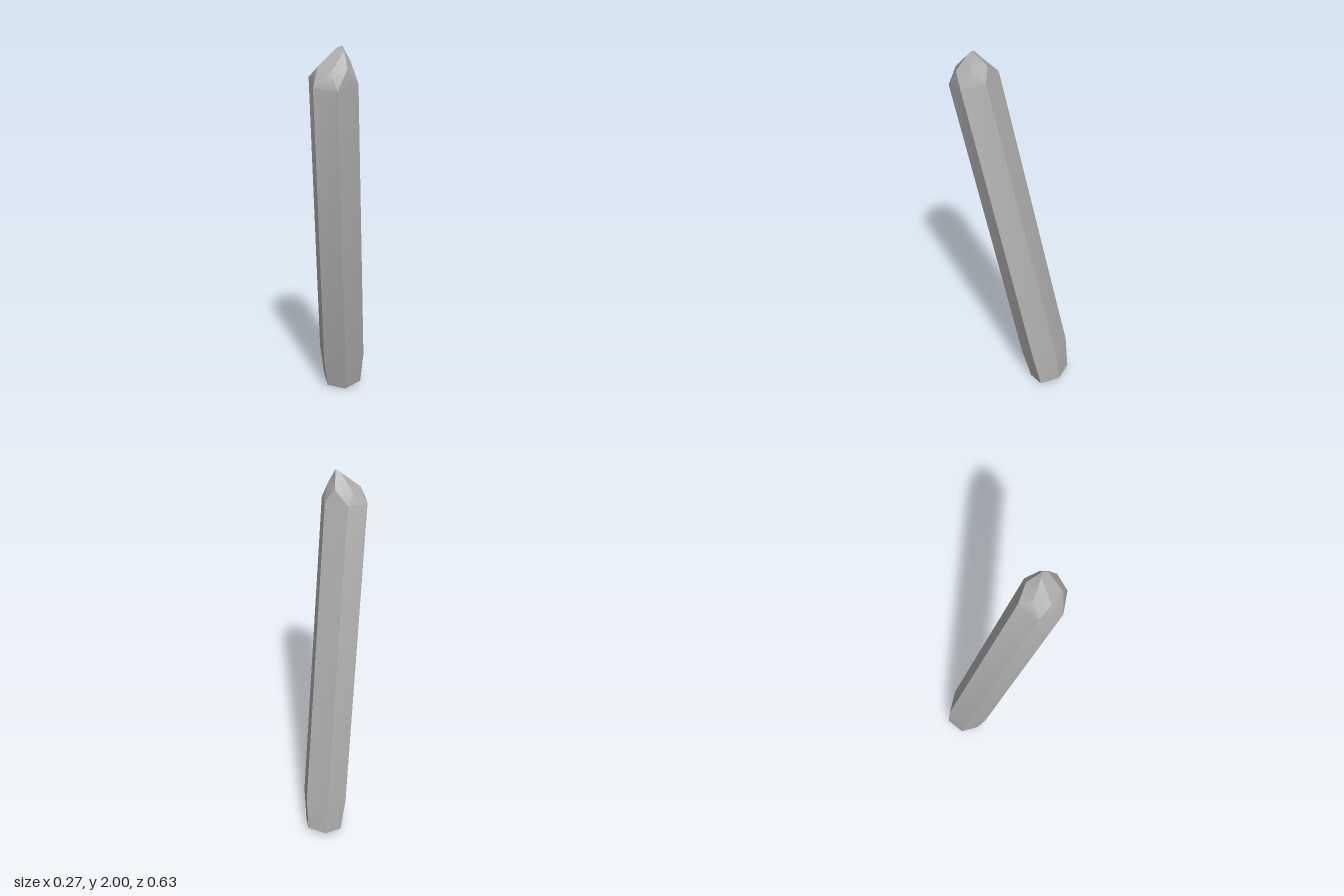
import * as THREE from 'three';
import { toCreasedNormals } from 'three/addons/utils/BufferGeometryUtils.js';

// Hexagonal outline of the shaft at its shoulder (x, z), relative to the axis
const HEX = [[-0.119, -0.031], [-0.039, -0.12], [0.086, -0.082], [0.128, 0.034], [0.032, 0.116], [-0.089, 0.084]];

// Cross-section at right angles to the leaning axis
const ring = (x, y, z, s) => HEX.map(([dx, dz]) => [x + dx * s, y - dz * s * 0.26, z + dz * s]);

// Skin a stack of six-point loops and close both ends
function skin(loops, creaseAngle) {
  const pos = [];
  const tri = (a, b, c) => {
    const [A, B, C] = [a, b, c].map((p) => new THREE.Vector3(...p));
    if (B.sub(A).cross(C.sub(A)).length() > 1e-8) pos.push(...a, ...b, ...c);
  };
  for (let k = 0; k < loops.length - 1; k++) {
    const a = loops[k], b = loops[k + 1];
    for (let i = 0; i < 6; i++) {
      const j = (i + 1) % 6;
      tri(a[i], b[i], a[j]);
      tri(b[i], b[j], a[j]);
    }
  }
  const base = loops[0], top = loops[loops.length - 1];
  for (let i = 1; i < 5; i++) {
    tri(base[0], base[i], base[i + 1]);
    tri(top[0], top[i + 1], top[i]);
  }
  const g = new THREE.BufferGeometry();
  g.setAttribute('position', new THREE.Float32BufferAttribute(pos, 3));
  return toCreasedNormals(g, creaseAngle);
}

export function createModel() {
  const group = new THREE.Group();
  group.name = 'crystal';
  const stone = new THREE.MeshStandardMaterial({ color: 0xb0b0b0 });
  stone.name = 'grey stone';

  // Irregular facets between the shoulder and the point
  const facets = [
    [-0.07, 1.9, 0.141], [0.02, 1.925, 0.118], [0.072, 1.92, 0.185],
    [0.06, 1.9, 0.264], [-0.02, 1.885, 0.284], [-0.088, 1.9, 0.225],
  ];
  // Small three-cornered point
  const left = [0.007, 1.99, 0.184], peak = [0.032, 2, 0.192], front = [0.042, 1.975, 0.218];
  const point = [left, peak, peak, front, front, left];

  const shard = new THREE.Mesh(skin([
    ring(0.008, 0.026, -0.213, 0.84), // narrowed foot
    ring(0.006, 0.21, -0.178, 1),
    ring(-0.016, 1.83, 0.197, 1), // shoulder
    facets,
    point,
  ], 0.5), stone);
  shard.name = 'crystalShard';
  group.add(shard);
  return group;
}
